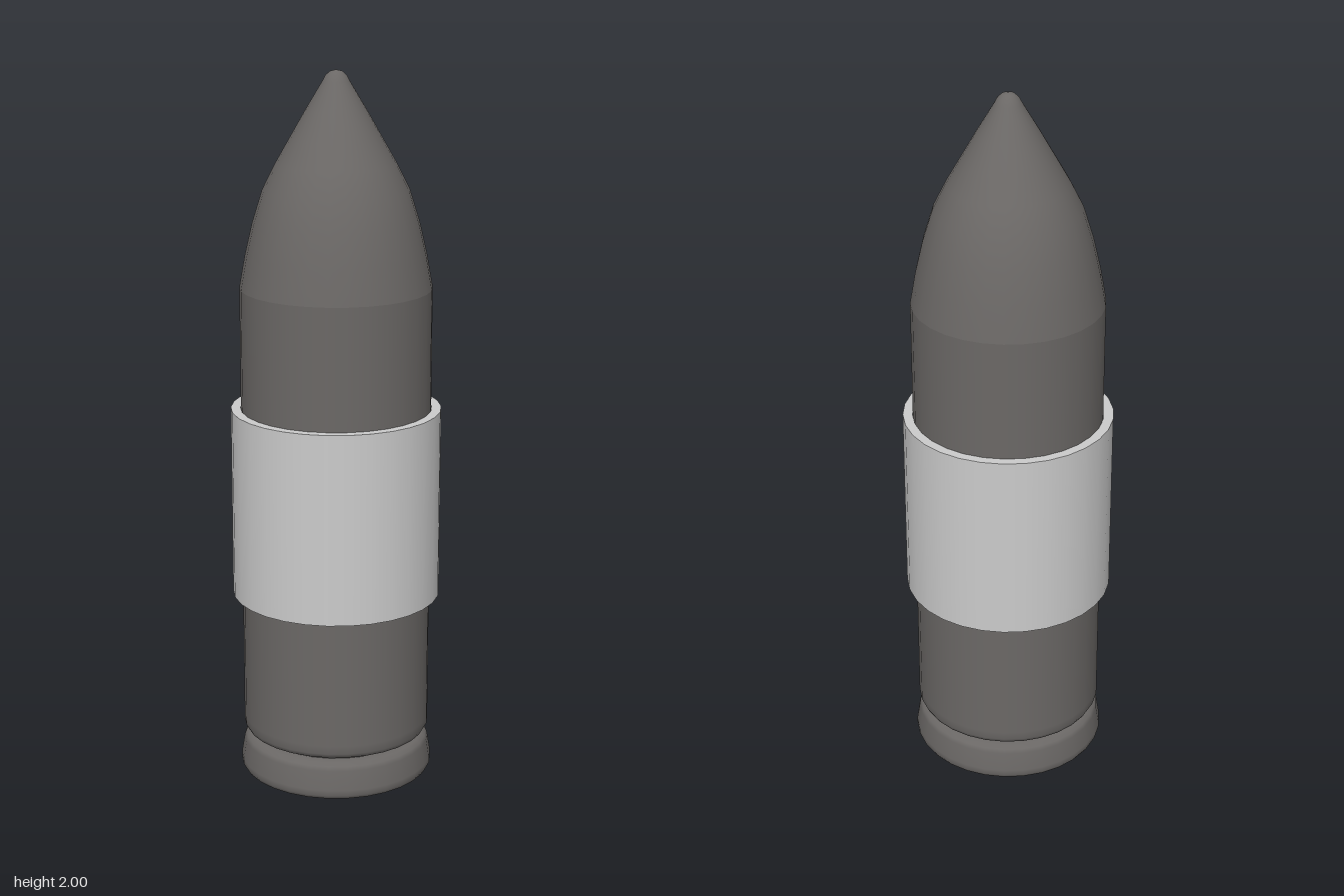
import * as THREE from 'three';
import { mergeGeometries } from 'three/addons/utils/BufferGeometryUtils.js';

const SIDES = 30;
const dark = new THREE.MeshStandardMaterial({ color: 0x6b6866 });
const grey = new THREE.MeshStandardMaterial({ color: 0xcccccc });

// Revolves runs of [radius, height]; each run is smooth, joins between runs are sharp
function revolve(name, material, ...runs) {
  const parts = runs.map((run) =>
    new THREE.LatheGeometry(run.map(([r, y]) => new THREE.Vector2(r, y)), SIDES));
  const mesh = new THREE.Mesh(mergeGeometries(parts), material);
  mesh.name = name;
  return mesh;
}

export function createModel() {
  const group = new THREE.Group();
  group.name = 'cartridge';

  // Flared foot with rounded edges, ending at the groove
  group.add(revolve('baseRim', dark,
    [[0.16, 0.012], [0.165, 0.004], [0.175, 0], [0.255, 0], [0.268, 0.004], [0.274, 0.014],
      [0.274, 0.03], [0.265, 0.085], [0.26, 0.097], [0.248, 0.105], [0.225, 0.107]]));

  // Disc set into the underside
  group.add(revolve('primer', grey, [[0, 0.004], [0.163, 0.004]]));

  // Groove between foot and case
  group.add(revolve('groove', dark, [[0.225, 0.105], [0.225, 0.122]]));

  // Straight case with a rounded lower edge
  group.add(revolve('case', dark,
    [[0.225, 0.118], [0.245, 0.119], [0.258, 0.124], [0.265, 0.137], [0.265, 0.16], [0.265, 1.41]]));

  // Curved nose with a small rounded tip
  group.add(revolve('nose', dark,
    [[0.265, 1.41], [0.249, 1.5], [0.228, 1.59], [0.2, 1.68], [0.165, 1.75], [0.125, 1.82],
      [0.085, 1.89], [0.037, 1.97], [0.029, 1.985], [0.017, 1.996], [0, 2]]));

  // Plain sleeve around the middle
  const [inner, outer, low, high] = [0.266, 0.293, 0.53, 1.07];
  group.add(revolve('sleeve', grey,
    [[inner, low], [outer, low]],
    [[outer, low], [outer, high]],
    [[outer, high], [inner, high]],
    [[inner, high], [inner, low]]));

  return group;
}
